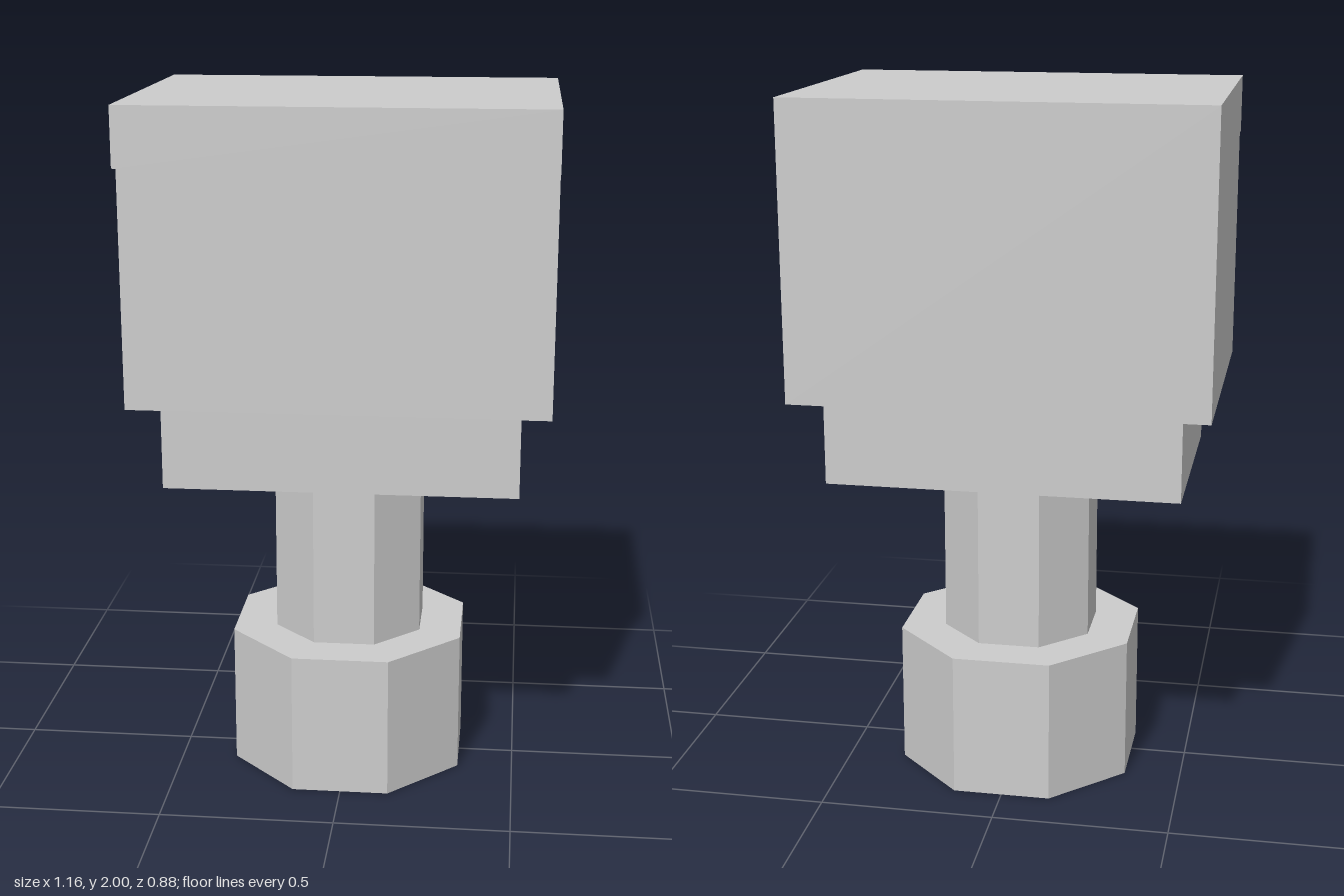
import * as THREE from 'three';

export function createModel() {
  const group = new THREE.Group();
  const grey = new THREE.MeshStandardMaterial({ color: 0xcccccc, flatShading: true });
  grey.name = 'light grey';
  const axisZ = -0.025; // shared centre line, set back because of the front lip

  const add = (name, geometry, y, z = 0) => {
    const mesh = new THREE.Mesh(geometry, grey);
    mesh.name = name;
    mesh.position.set(0, y, z);
    group.add(mesh);
  };

  // Octagonal prism with flat faces towards the axes, sized by its half width
  const octagon = (halfWidth, height) => {
    const radius = halfWidth / Math.cos(Math.PI / 8);
    return new THREE.CylinderGeometry(radius, radius, height, 8).rotateY(Math.PI / 8);
  };

  // Foot and post
  add('foot', octagon(0.337, 0.417), 0.2085, axisZ);
  add('post', octagon(0.214, 0.503), 0.6685, axisZ);

  // Collar under the head
  add('collar', new THREE.BoxGeometry(1, 0.25, 0.664), 1.045, axisZ);

  // Head: side profile (z, y) with an overhanging front lip, extruded across x
  const width = 1.164;
  const profile = new THREE.Shape([
    [-0.442, 1.17], [0.391, 1.17], [0.391, 1.836], [0.442, 1.836], [0.442, 2], [-0.442, 2],
  ].map(([z, y]) => new THREE.Vector2(z, y)));
  const head = new THREE.ExtrudeGeometry(profile, { depth: width, bevelEnabled: false });
  head.translate(0, 0, -width / 2).rotateY(-Math.PI / 2);
  add('head', head, 0);

  return group;
}
